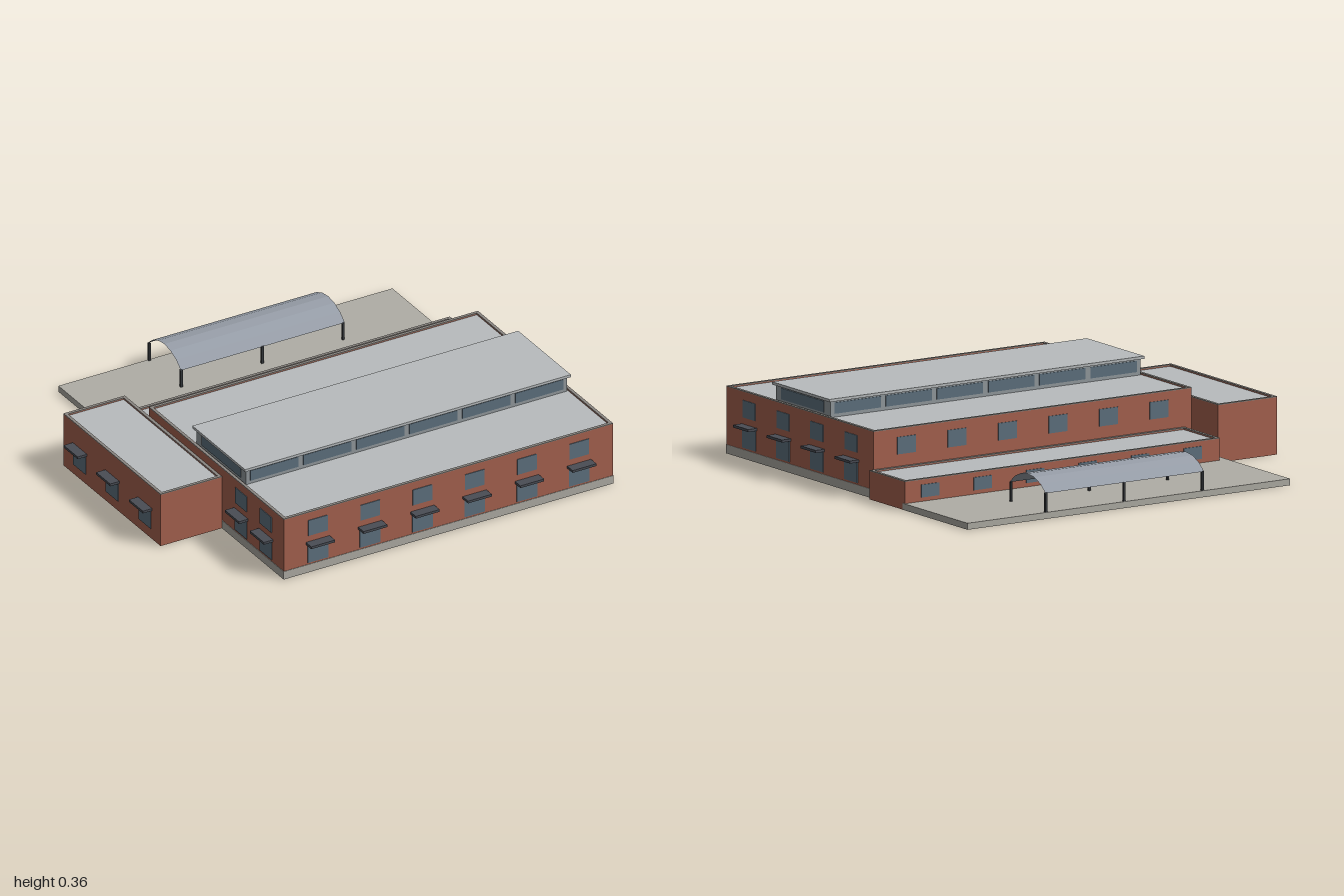
import * as THREE from 'three';

const mat = (color, side = THREE.FrontSide) => new THREE.MeshStandardMaterial({ color, side, flatShading: true });
const BRICK = mat(0xa86350), STONE = mat(0xb0aea6), ROOF = mat(0xb8bcbe), GLASS = mat(0x5f7280);
const DARK = mat(0x4a4d55), FRAME = mat(0x949b9f), COPING = mat(0x8b8782), POST = mat(0x33363a);
const VAULT = mat(0x979ea8, THREE.DoubleSide);

export function createModel() {
  const model = new THREE.Group();

  function add(name, geometry, material, parent = model) {
    const mesh = new THREE.Mesh(geometry, material);
    mesh.name = name;
    parent.add(mesh);
    return mesh;
  }

  // Box given by its limits on each axis
  function box(name, [x0, x1], [y0, y1], [z0, z1], material, parent) {
    const g = new THREE.BoxGeometry(x1 - x0, y1 - y0, z1 - z0);
    g.translate((x0 + x1) / 2, (y0 + y1) / 2, (z0 + z1) / 2);
    return add(name, g, material, parent);
  }

  // Rectangular ring of walls, open above and below
  function ring(name, [x0, x1], [y0, y1], [z0, z1], t, material) {
    const outline = (d) => [[x0 + d, -z1 + d], [x1 - d, -z1 + d], [x1 - d, -z0 - d], [x0 + d, -z0 - d]]
      .map(([x, y]) => new THREE.Vector2(x, y));
    const shape = new THREE.Shape(outline(0));
    shape.holes.push(new THREE.Path(outline(t).reverse()));
    const g = new THREE.ExtrudeGeometry(shape, { depth: y1 - y0, bevelEnabled: false });
    g.rotateX(-Math.PI / 2).translate(0, y0, 0);
    return add(name, g, material);
  }

  // Hollow block: walls, coping and a roof set just below the parapet
  function block(name, xs, base, h, zs) {
    const t = 0.014;
    ring(name + 'Walls', xs, [base, h - 0.004], zs, t, BRICK);
    ring(name + 'Coping', xs, [h - 0.004, h], zs, t, COPING);
    box(name + 'Roof', [xs[0] + t, xs[1] - t], [h - 0.016, h - 0.008], [zs[0] + t, zs[1] - t], ROOF);
  }

  block('mainHall', [-0.655, 0.95], 0.038, 0.29, [-0.205, 0.907]);
  ring('plinth', [-0.657, 0.952], [0, 0.038], [-0.207, 0.909], 0.016, STONE);
  block('sideWing', [-0.956, -0.657], 0, 0.25, [-0.4, 0.4]);
  block('rearAnnex', [-0.617, 0.972], 0, 0.125, [-0.474, -0.208]);
  box('terrace', [-0.655, 0.968], [0.003, 0.028], [-0.46, -0.209], STONE);
  box('terrace', [-0.655, 0.974], [0, 0.028], [-0.95, -0.46], STONE);

  // A facade group's local x runs along the wall and local +z points outward
  function facade(name, x, z, angle) {
    const g = new THREE.Group();
    g.name = name;
    g.position.set(x, 0, z);
    g.rotation.y = angle;
    model.add(g);
    return g;
  }
  const pane = (parent, u, w, y0, y1) =>
    box('window', [u - w / 2, u + w / 2], [y0, y1], [-0.002, 0.003], GLASS, parent);
  function bay(parent, u, upper = true) {
    if (upper) pane(parent, u, 0.095, 0.176, 0.25);
    pane(parent, u, 0.1, 0.046, 0.135);
    box('canopy', [u - 0.058, u + 0.058], [0.136, 0.147], [0, 0.045], DARK, parent);
  }

  const six = Array.from({ length: 6 }, (_, i) => -0.49 + i * 0.255);
  const front = facade('frontFacade', 0, 0.907, 0);
  six.forEach((x) => bay(front, x));

  const left = facade('leftFacade', 0.95, 0, Math.PI / 2);
  [0.733, 0.478, 0.223, -0.035].forEach((z) => bay(left, -z));

  const right = facade('rightFacade', -0.655, 0, -Math.PI / 2);
  [0.555, 0.76].forEach((z) => bay(right, z));

  const wing = facade('wingFacade', -0.956, 0, -Math.PI / 2);
  [-0.265, 0.003, 0.272].forEach((z) => bay(wing, z, false));

  const rear = facade('rearFacade', 0, -0.205, Math.PI);
  six.forEach((x) => pane(rear, -x, 0.095, 0.176, 0.25));

  const annex = facade('annexFacade', 0, -0.474, Math.PI);
  for (let i = 0; i < 6; i++) pane(annex, -(0.845 - i * 0.265), 0.09, 0.045, 0.1);

  // Raised roof light with strip windows
  box('clerestoryWalls', [-0.635, 0.93], [0.275, 0.352], [0.152, 0.562], FRAME);
  box('clerestoryRoof', [-0.647, 0.942], [0.352, 0.364], [0.14, 0.574], ROOF);
  for (const [z, angle] of [[0.562, 0], [0.152, Math.PI]]) {
    const strip = facade('clerestoryWindows', 0.1475, z, angle);
    for (let i = 0; i < 6; i++) pane(strip, (i - 2.5) * 0.2585, 0.233, 0.297, 0.345);
  }
  for (const [x, angle] of [[0.93, Math.PI / 2], [-0.635, -Math.PI / 2]]) {
    pane(facade('clerestoryEndWindow', x, 0.36, angle), 0, 0.32, 0.297, 0.345);
  }

  // Vaulted shelter: a shallow faceted arc on two rows of posts
  const half = 0.84, zc = -0.813, r = 0.137 / Math.sin(half);
  const arc = new THREE.CylinderGeometry(r, r, 0.8, 6, 1, true, -half, half * 2);
  arc.rotateZ(Math.PI / 2).rotateX(-Math.PI / 2);
  // Turn the arc so that its crown points up, whatever its starting side
  arc.computeBoundingBox();
  const mid = arc.boundingBox.getCenter(new THREE.Vector3());
  arc.rotateX(Math.atan2(mid.z, mid.y) * -1);
  arc.translate(0.18, 0.11 - r * Math.cos(half), zc);
  // Same arc laid out directly along x
  const pos = arc.attributes.position;
  for (let i = 0; i < pos.count; i++) {
    const a = -half + (2 * half * (i % 7)) / 6;
    pos.setXYZ(i, i < 7 ? -0.22 : 0.58, 0.11 + r * (Math.cos(a) - Math.cos(half)), zc + r * Math.sin(a));
  }
  arc.computeVertexNormals();
  add('shelterVault', arc, VAULT);

  for (const x of [-0.215, 0.18, 0.575]) {
    for (const z of [zc - 0.131, zc + 0.131]) {
      box('shelterPost', [x - 0.005, x + 0.005], [0.028, 0.112], [z - 0.005, z + 0.005], POST);
    }
  }
  return model;
}
